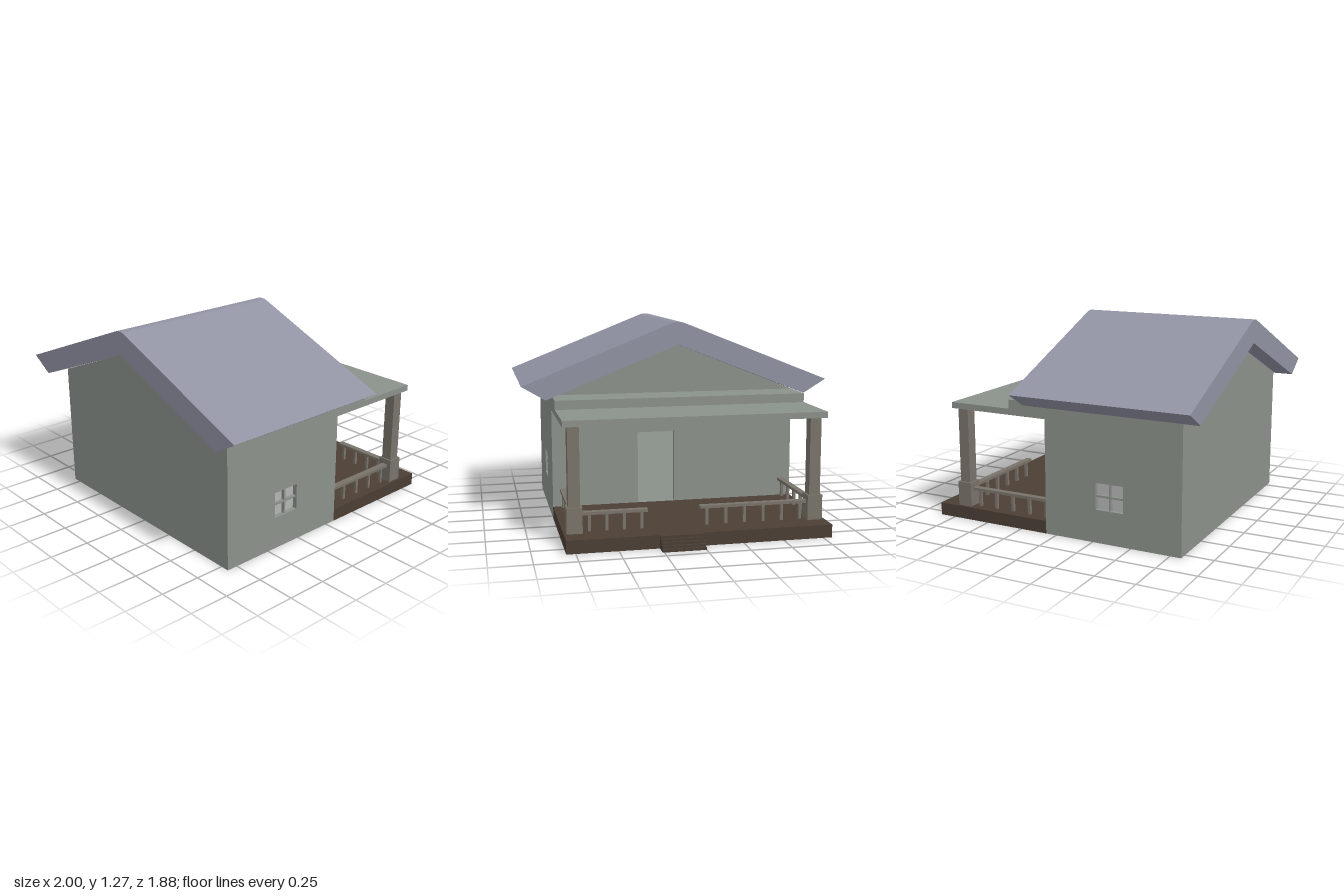
import * as THREE from 'three';
import { toCreasedNormals } from 'three/addons/utils/BufferGeometryUtils.js';

const paint = (color) => new THREE.MeshStandardMaterial({ color });
const WALL = paint(0x8b918b), ROOF = paint(0x9193a3), DECK = paint(0x4b3e35);
const WOOD = paint(0x79736a), GLASS = paint(0xb4b4b4), DOOR = paint(0x9ca59c);

const HW = 0.805;                 // half width of the house
const FRONT = 0.82, BACK = -0.07; // z of the gable walls
const EAVE = 0.81, RIDGE = 1.13, T = 0.04;
const DECK_Y = 0.08, POST_X = 0.74, POST_Z = -0.68;

export function createModel() {
  const house = new THREE.Group();
  house.name = 'house';

  const add = (name, geometry, material, parent = house) => {
    const mesh = new THREE.Mesh(geometry, material);
    mesh.name = name;
    parent.add(mesh);
    return mesh;
  };
  // Box given by its limits on each axis
  const box = (name, [x0, x1], [y0, y1], [z0, z1], material, parent) => {
    const mesh = add(name, new THREE.BoxGeometry(x1 - x0, y1 - y0, z1 - z0), material, parent);
    mesh.position.set((x0 + x1) / 2, (y0 + y1) / 2, (z0 + z1) / 2);
    return mesh;
  };
  const group = (name) => {
    const g = new THREE.Group();
    g.name = name;
    house.add(g);
    return g;
  };
  const polygon = (points) => new THREE.Shape(points.map(([x, y]) => new THREE.Vector2(x, y)));
  const rect = (x0, x1, y0, y1) => polygon([[x0, y0], [x1, y0], [x1, y1], [x0, y1]]);
  const extrude = (shape, depth) =>
    new THREE.ExtrudeGeometry(shape, { depth, bevelEnabled: false, curveSegments: 10 });

  // Gable walls, the rear one with a doorway
  const gable = () => polygon([[-HW, 0], [HW, 0], [HW, EAVE], [0, RIDGE], [-HW, EAVE]]);
  add('frontWall', extrude(gable(), T), WALL).position.z = FRONT - T;
  const rear = gable();
  rear.holes.push(rect(0, 0.245, DECK_Y, 0.55));
  add('backWall', extrude(rear, T), WALL).position.z = BACK;
  box('door', [-0.01, 0.255], [DECK_Y - 0.01, 0.56], [BACK + T, BACK + T + 0.02], DOOR);
  box('houseFloor', [-HW + T, HW - T], [0, 0.03], [BACK + T, FRONT - T], WALL);

  // Side walls with recessed four-pane windows
  const win = { z: [0.27, 0.45], y: [0.205, 0.37] };
  const midZ = 0.36, midY = 0.287, bar = 0.006;
  for (const s of [-1, 1]) {
    const side = rect(BACK + T, FRONT - T, 0, EAVE);
    side.holes.push(rect(...win.z, ...win.y));
    const wall = add('sideWall', extrude(side, T).rotateY(-Math.PI / 2), WALL);
    wall.position.x = s > 0 ? HW : -HW + T;

    const w = group('window');
    const span = (a, b) => [Math.min(s * a, s * b), Math.max(s * a, s * b)];
    box('glass', span(HW - T - 0.01, HW - 0.03), win.y, win.z, GLASS, w);
    const barX = span(HW - 0.03, HW - 0.01);
    box('windowBar', barX, win.y, [midZ - bar, midZ + bar], WALL, w);
    box('windowBar', barX, [midY - bar, midY + bar], win.z, WALL, w);
  }

  // Main roof: thick gable section with a rounded ridge
  const r = new THREE.Shape();
  r.moveTo(0.85, 0.795);
  r.lineTo(1, 0.885);
  r.lineTo(0.05, 1.263);
  r.quadraticCurveTo(0, 1.285, -0.05, 1.263);
  r.lineTo(-1, 0.885);
  r.lineTo(-0.85, 0.795);
  r.lineTo(0, RIDGE);
  r.closePath();
  add('mainRoof', toCreasedNormals(extrude(r, 1.13), 0.5), ROOF).position.z = -0.19;

  // Stepped porch roof
  box('porchRoof', [-HW, HW], [0.715, 0.753], [-0.74, BACK], WALL);
  box('porchRoofStep', [-HW, HW], [0.753, EAVE], [-0.32, BACK], WALL);

  // Porch deck and entry steps
  box('porchDeck', [-HW, HW], [0, DECK_Y], [-0.855, BACK], DECK);
  const steps = group('entrySteps');
  for (let i = 0; i < 5; i++) {
    const zOuter = -0.938 + i * 0.015;
    const zInner = i < 4 ? zOuter + 0.015 : -0.855;
    box('step', [0, 0.26], [0, (i + 1) * 0.016], [zOuter, zInner], DECK, steps);
  }

  // Porch posts on square plinths
  for (const s of [-1, 1]) {
    const post = group('porchPost');
    const square = (name, h, y0, y1) =>
      box(name, [s * POST_X - h, s * POST_X + h], [y0, y1], [POST_Z - h, POST_Z + h], WOOD, post);
    square('postBase', 0.047, DECK_Y, 0.235);
    square('postShaft', 0.035, 0.235, 0.715);
  }

  // Railings: a flat top rail carried on evenly spaced balusters
  const railing = (name, length, count) => {
    const g = group(name);
    box('topRail', [0, length], [0.182, 0.2], [-0.02, 0.02], WOOD, g);
    for (let i = 0; i < count; i++) {
      const x = 0.035 + (i / (count - 1)) * (length - 0.08);
      box('baluster', [x - 0.009, x + 0.009], [DECK_Y, 0.182], [-0.009, 0.009], WOOD, g);
    }
    return g;
  };
  for (const s of [-1, 1]) {
    const g = railing('sideRailing', 0.565, 5);
    g.rotation.y = Math.PI / 2; // runs from the wall out to the post
    g.position.set(s * POST_X, 0, BACK);
  }
  railing('backRailingLeft', 0.393, 4).position.set(0.3, 0, POST_Z);
  railing('backRailingRight', 0.673, 6).position.set(-0.693, 0, POST_Z);

  return house;
}
